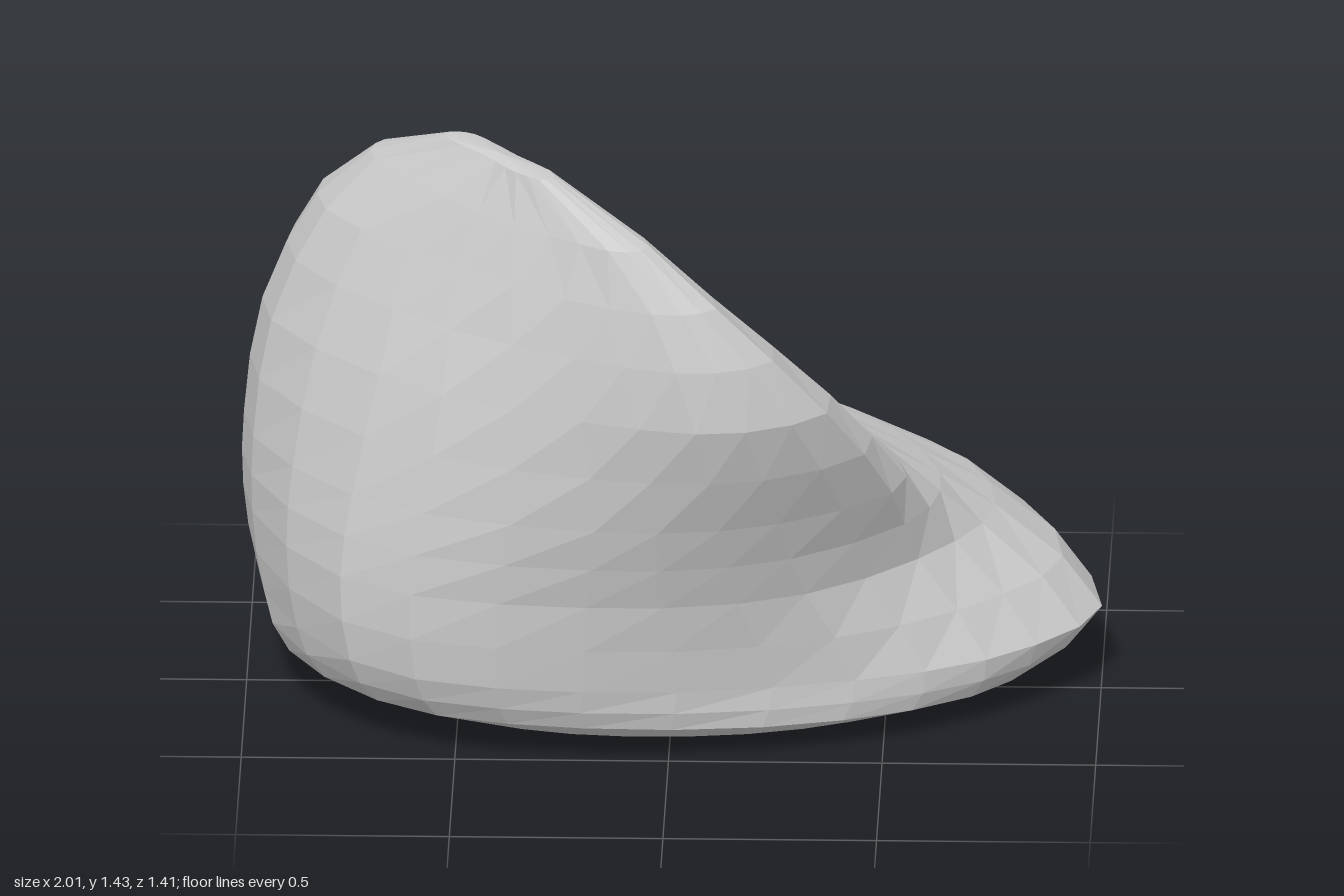
import * as THREE from 'three';

// Horizontal sections from the ground up: [x, z] pairs running from the foot tip,
// round the front, the left wall and the back, to the foot again.
const HEIGHTS = [0.1, 0.21, 0.42, 0.62, 0.9, 1.18, 1.31, 1.42];
const SECTIONS = [
  [.88, -.08, .74, .21, .35, .43, -.20, .51, -.64, .42, -.91, .07, -.79, -.28, .20, -.56, .74, -.43],
  [1.0, -.08, .78, .22, .38, .42, -.20, .54, -.70, .46, -.97, .00, -.88, -.38, .30, -.71, .80, -.51],
  [.75, -.12, .61, .18, .27, .48, -.19, .57, -.72, .46, -1.0, -.03, -.92, -.45, .16, -.665, .62, -.47],
  [.49, .03, .54, .31, .21, .58, -.17, .62, -.69, .44, -1.0, -.04, -.91, -.45, -.08, -.595, .25, -.34],
  [.20, .12, .385, .53, .15, .70, -.20, .63, -.63, .39, -.96, -.07, -.88, -.40, -.42, -.485, -.07, -.16],
  [-.09, .27, .12, .60, .02, .66, -.24, .56, -.57, .29, -.83, -.05, -.79, -.27, -.60, -.27, -.31, .01],
  [-.22, .30, -.04, .54, -.10, .59, -.28, .48, -.50, .28, -.71, -.03, -.68, -.13, -.56, -.09, -.38, .12],
  [-.36, .25, -.27, .37, -.29, .41, -.36, .36, -.43, .26, -.53, .13, -.52, .10, -.47, .11, -.41, .18],
];
// How far each low section leans up towards the back and the left
const TILT = [0.7, 1, 0.4];
const COLUMNS = 24;
// Rows as positions between sections, denser on the tall upper part
const ROWS = [0, 1, 1.5, 2, 2.5, 3, 3.5, 4, 4.5, 5, 5.5, 6, 7, 8];

function rockGeometry() {
  const base = new THREE.Vector3(0.1, 0, 0.18);
  const peak = new THREE.Vector3(-0.4, 1.43, 0.26);

  // Smooth each section into a ring of points
  const rings = SECTIONS.map((s, k) => {
    const points = [];
    for (let i = 0; i < s.length; i += 2) {
      const lean = (TILT[k] ?? 0) * (0.04 * s[i] + 0.06 * s[i + 1]);
      points.push(new THREE.Vector3(s[i], HEIGHTS[k] - lean, s[i + 1]));
    }
    return new THREE.CatmullRomCurve3(points, true).getPoints(COLUMNS);
  });

  // Shallow underside: the lowest ring drawn in towards the base point
  rings.unshift(rings[0].map((p) => {
    const q = p.clone().lerp(base, 0.31);
    q.y = p.y * 0.3;
    return q;
  }));

  // Run a smooth meridian through the rings for every column
  const meridians = [];
  for (let c = 0; c < COLUMNS; c++) {
    const curve = new THREE.CatmullRomCurve3(rings.map((ring) => ring[c]));
    meridians.push(ROWS.map((r) => curve.getPoint(r / (rings.length - 1))));
  }

  // Skin the meridians and close both ends
  const positions = [];
  const face = (...corners) => corners.forEach((p) => positions.push(p.x, p.y, p.z));
  const last = ROWS.length - 1;
  for (let c = 0; c < COLUMNS; c++) {
    const a = meridians[c];
    const b = meridians[(c + 1) % COLUMNS];
    face(base, a[0], b[0]);
    for (let r = 0; r < last; r++) {
      face(a[r], a[r + 1], b[r]);
      face(b[r], a[r + 1], b[r + 1]);
    }
    face(a[last], peak, b[last]);
  }

  const geometry = new THREE.BufferGeometry();
  geometry.setAttribute('position', new THREE.Float32BufferAttribute(positions, 3));
  geometry.computeVertexNormals();
  return geometry;
}

export function createModel() {
  const group = new THREE.Group();
  group.name = 'boulder';
  const material = new THREE.MeshStandardMaterial({ color: 0xcccccc, flatShading: true });
  const rock = new THREE.Mesh(rockGeometry(), material);
  rock.name = 'rock';
  group.add(rock);
  return group;
}
